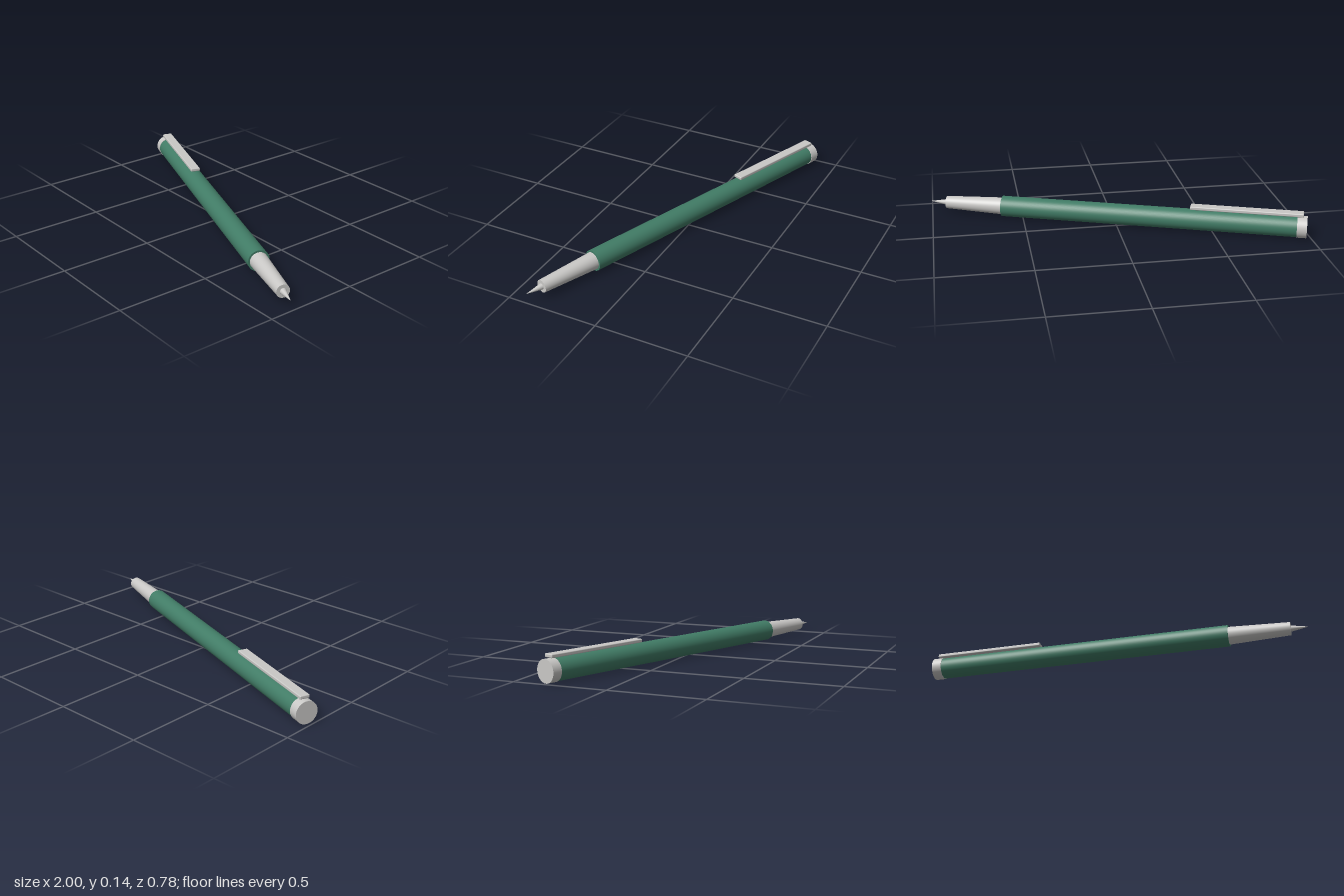
import * as THREE from 'three';
import { RoundedBoxGeometry } from 'three/addons/geometries/RoundedBoxGeometry.js';

export function createModel() {
  const green = new THREE.MeshStandardMaterial({ color: 0x417c66 });
  green.name = 'green lacquer';
  const silver = new THREE.MeshStandardMaterial({ color: 0xc9c8c6 });
  silver.name = 'silver metal';

  // The pen is laid out along +x from its rear end, then turned on the ground
  const pen = new THREE.Group();
  pen.name = 'pen';

  // Round section from x0 to x1, with a radius at each end
  function section(name, x0, x1, r0, r1, material) {
    const geometry = new THREE.CylinderGeometry(r1, r0, x1 - x0, 48);
    geometry.rotateZ(-Math.PI / 2);
    geometry.translate((x0 + x1) / 2, 0, 0);
    const mesh = new THREE.Mesh(geometry, material);
    mesh.name = name;
    pen.add(mesh);
  }

  section('endCap', 0, 0.053, 0.06, 0.06, silver);
  section('barrel', 0.045, 1.69, 0.0575, 0.0575, green);
  section('grip', 1.68, 2.017, 0.048, 0.035, silver);
  section('nib', 2.01, 2.107, 0.018, 0.001, silver);

  // Flat pocket clip along the top of the barrel
  const clip = new THREE.Mesh(new RoundedBoxGeometry(0.61, 0.019, 0.054, 3, 0.005), silver);
  clip.name = 'clip';
  clip.position.set(0.325, 0.0725, 0);
  pen.add(clip);

  // Lay the pen diagonally, resting on its end cap
  pen.rotation.y = -0.35;
  pen.position.set(-0.98, 0.06, -0.334);

  const model = new THREE.Group();
  model.name = 'ballpointPen';
  model.add(pen);
  return model;
}
